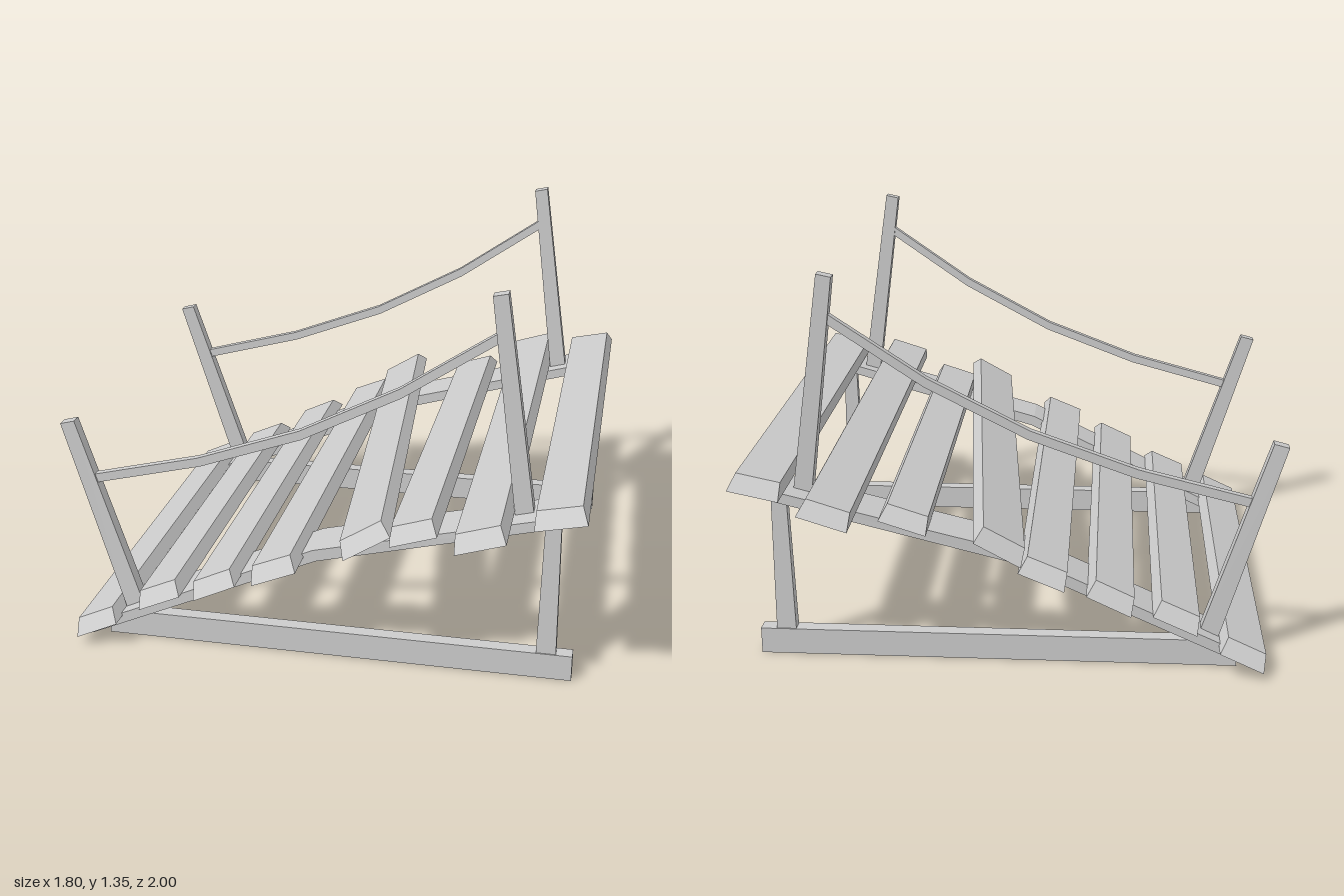
import * as THREE from 'three';

const material = new THREE.MeshStandardMaterial({ color: 0xcccccc, flatShading: true, side: THREE.DoubleSide });

// Solid skinned over four-cornered rings; corners run counter-clockwise about the travel direction.
function loft(name, rings) {
  const pos = [];
  const quad = (a, b, c, d) => pos.push(...a, ...b, ...c, ...a, ...c, ...d);
  const first = rings[0], last = rings[rings.length - 1];
  for (let r = 0; r < rings.length - 1; r++) {
    const a = rings[r], b = rings[r + 1];
    for (let i = 0; i < 4; i++) {
      const j = (i + 1) % 4;
      quad(a[i], a[j], b[j], b[i]);
    }
  }
  quad(first[3], first[2], first[1], first[0]);
  quad(last[0], last[1], last[2], last[3]);
  const geometry = new THREE.BufferGeometry();
  geometry.setAttribute('position', new THREE.Float32BufferAttribute(pos, 3));
  geometry.computeVertexNormals();
  const mesh = new THREE.Mesh(geometry, material);
  mesh.name = name;
  return mesh;
}

// Bar running along x: stations are [xBottom, yBottom, xTop, yTop, zCentre].
const bar = (name, stations, width) => loft(name, stations.map(([xb, yb, xt, yt, z]) => [
  [xb, yb, z - width / 2], [xt, yt, z - width / 2],
  [xt, yt, z + width / 2], [xb, yb, z + width / 2],
]));

// Upright: each end is [xLeft, yLeft, xRight, yRight, zCentre, depth].
const upright = (name, ends) => loft(name, ends.map(([xl, yl, xr, yr, z, d]) => [
  [xl, yl, z - d / 2], [xl, yl, z + d / 2], [xr, yr, z + d / 2], [xr, yr, z - d / 2],
]));

// Plank along z with a chamfered upper face; origin at the middle of its underside.
function plank(x, y, roll, length, width = 0.162, yaw = 0, pitch = 0) {
  const h = 0.048, w = width / 2, t = w - 0.011;
  const mesh = loft('deckPlank', [-1, 1].map((s) => {
    const low = s * length / 2, high = s * (length / 2 - 0.05);
    return [[-w, 0, low], [w, 0, low], [t, h, high], [-t, h, high]];
  }));
  mesh.position.set(x, y, 0);
  mesh.rotation.set(pitch, yaw, THREE.MathUtils.degToRad(roll), 'YXZ');
  return mesh;
}

export function createModel() {
  const model = new THREE.Group();
  model.name = 'brokenRamp';

  // Deck, with one loose plank lying askew
  const deck = new THREE.Group();
  deck.name = 'deck';
  deck.add(
    plank(-0.768, 0.062, 24.8, 1.625),
    plank(-0.545, 0.178, 24, 1.57),
    plank(-0.324, 0.277, 25.2, 1.71),
    plank(-0.105, 0.378, 22.5, 1.8),
    plank(0.122, 0.507, 30.5, 1.86, 0.175, 0.095, -0.028),
    plank(0.348, 0.536, 17.8, 1.71),
    plank(0.579, 0.604, 17.5, 2.0, 0.168),
    plank(0.816, 0.657, 12, 1.82, 0.168),
  );
  model.add(deck);

  for (const s of [1, -1]) {
    const side = new THREE.Group();
    side.name = s > 0 ? 'leftSide' : 'rightSide';

    // Bent carrying beam, splaying outward towards the high end
    side.add(bar('deckBeam', [
      [-0.81, 0.01, -0.825, 0.042, s * 0.655],
      [0.01, 0.398, 0.0, 0.437, s * 0.697],
      [0.865, 0.63, 0.873, 0.667, s * 0.737],
    ], 0.17));

    // Ground sill, cut to a point under the beam
    side.add(bar('groundSill', [
      [-0.76, 0, -0.757, 0.03, s * 0.682],
      [-0.63, 0, -0.63, 0.092, s * 0.682],
      [0.867, 0, 0.867, 0.092, s * 0.682],
    ], 0.05));

    // Support under the high end
    side.add(upright('supportPost', [
      [0.745, 0.09, 0.812, 0.09, s * 0.682, 0.042],
      [0.757, 0.615, 0.808, 0.63, s * 0.686, 0.03],
    ]));

    // Leaning railing posts
    side.add(upright('lowRailPost', [
      [-0.695, 0.1, -0.635, 0.13, s * 0.675, 0.045],
      [-0.9, 0.777, -0.85, 0.79, s * 0.662, 0.04],
    ]));
    side.add(upright('highRailPost', [
      [0.66, 0.605, 0.72, 0.62, s * 0.718, 0.048],
      [0.565, 1.337, 0.613, 1.347, s * 0.727, 0.042],
    ]));

    // Sagging rope between the posts
    const rope = [[-0.79, 0.582], [-0.41, 0.681], [-0.055, 0.813], [0.28, 0.99], [0.6, 1.208]];
    side.add(bar('railRope', rope.map(([x, y], i) => [
      x + 0.004, y - 0.015, x - 0.004, y + 0.015, s * (0.666 + 0.0145 * i),
    ]), 0.027));
    model.add(side);
  }
  return model;
}
